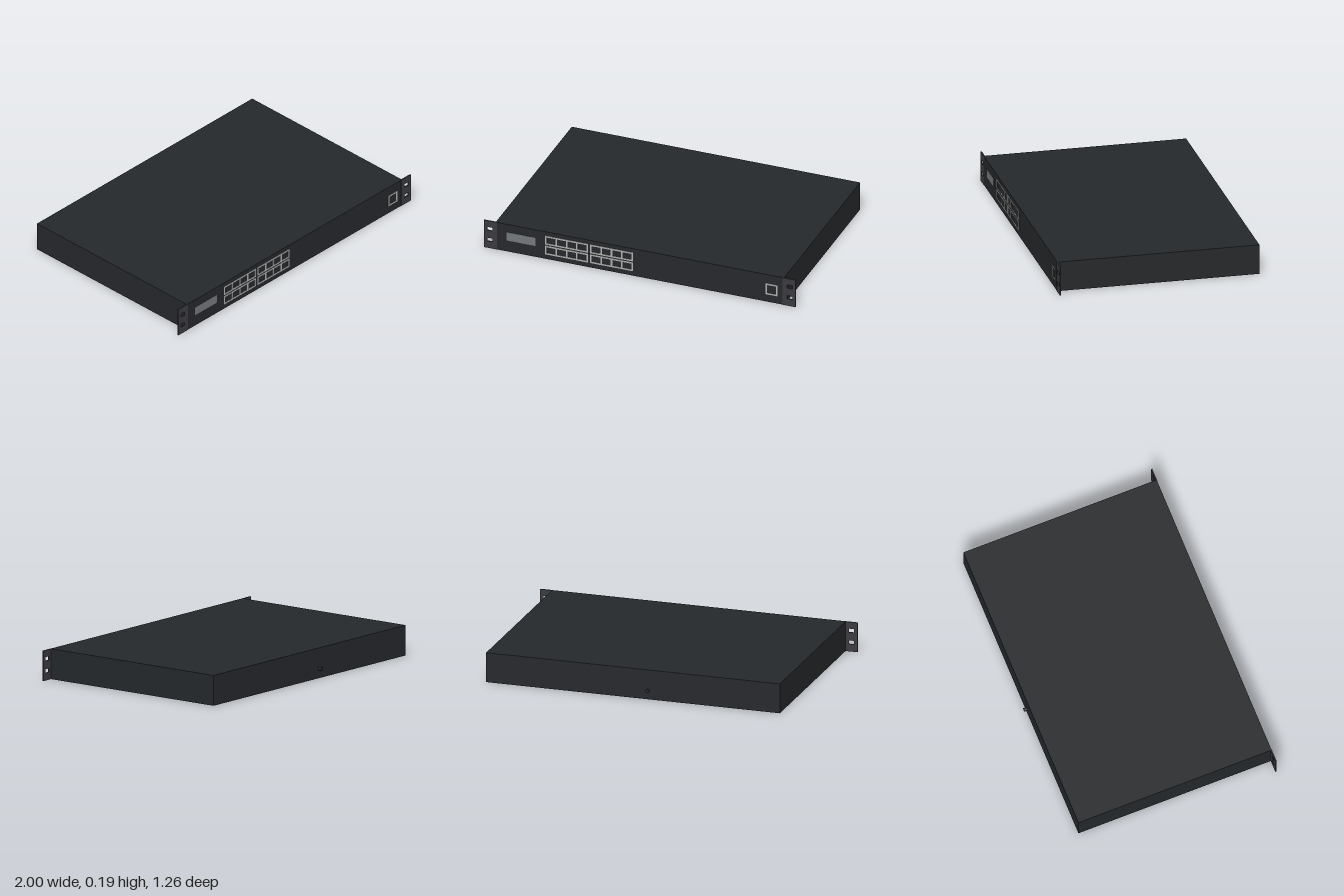
import * as THREE from 'three';

const FRONT = 0.628; // z of the front panel face
const HEIGHT = 0.185;

const mat = (color) => new THREE.MeshStandardMaterial({ color });
const shell = mat(0x25282b), earGrey = mat(0x3b3b40), trim = mat(0xb0b2b0), labelGrey = mat(0x75787b);

function add(parent, name, geometry, material, x = 0, y = 0, z = 0) {
  const mesh = new THREE.Mesh(geometry, material);
  mesh.name = name;
  mesh.position.set(x, y, z);
  parent.add(mesh);
  return mesh;
}

function rect(Type, x0, y0, x1, y1) {
  return new Type([[x0, y0], [x1, y0], [x1, y1], [x0, y1]].map(([x, y]) => new THREE.Vector2(x, y)));
}

// Plate with rectangular openings, each given as [x0, y0, x1, y1]
function plate(outer, openings, depth) {
  const shape = rect(THREE.Shape, ...outer);
  shape.holes = openings.map((o) => rect(THREE.Path, ...o));
  return new THREE.ExtrudeGeometry(shape, { depth, bevelEnabled: false });
}

// One row of square outlines sharing their dividing bars
function frameRow(width, height, count, bar) {
  const pitch = (width - bar) / count;
  const openings = Array.from({ length: count }, (_, i) =>
    [bar + i * pitch, bar, (i + 1) * pitch, height - bar]);
  return plate([0, 0, width, height], openings, 0.003);
}

export function createModel() {
  const model = new THREE.Group();
  model.name = 'rackUnit';

  // Case
  const depth = FRONT + 0.615;
  add(model, 'case', new THREE.BoxGeometry(1.85, HEIGHT, depth), shell, 0, HEIGHT / 2, FRONT - depth / 2);

  // Mounting ears with two slots each
  for (const side of [-1, 1]) {
    const slots = [0.046, 0.12].map((y) => [side * 0.962 - 0.017, y, side * 0.962 + 0.017, y + 0.023]);
    const inner = side * 0.917;
    const outer = [Math.min(inner, side), 0, Math.max(inner, side), HEIGHT];
    add(model, side > 0 ? 'leftEar' : 'rightEar', plate(outer, slots, 0.008), earGrey, 0, 0, FRONT - 0.006);
  }

  // Display plate
  add(model, 'displayPlate', new THREE.BoxGeometry(0.187, 0.056, 0.004), labelGrey, -0.763, 0.103, FRONT);

  // Two blocks of ports, two rows of four
  const ports = new THREE.Group();
  ports.name = 'ports';
  model.add(ports);
  for (const x of [-0.607, -0.319])
    for (const y of [0.031, 0.098])
      add(ports, 'portRow', frameRow(0.275, 0.06, 4, 0.01), trim, x, y, FRONT - 0.001);

  // Single port at the far end
  add(model, 'singlePort', frameRow(0.077, 0.075, 1, 0.01), trim, 0.806, 0.05, FRONT - 0.001);

  // Grounding stud on the back
  const stud = add(model, 'groundStud', new THREE.CylinderGeometry(0.011, 0.011, 0.024, 20), shell, -0.095, 0.056, -0.622);
  stud.rotation.x = Math.PI / 2;

  return model;
}
